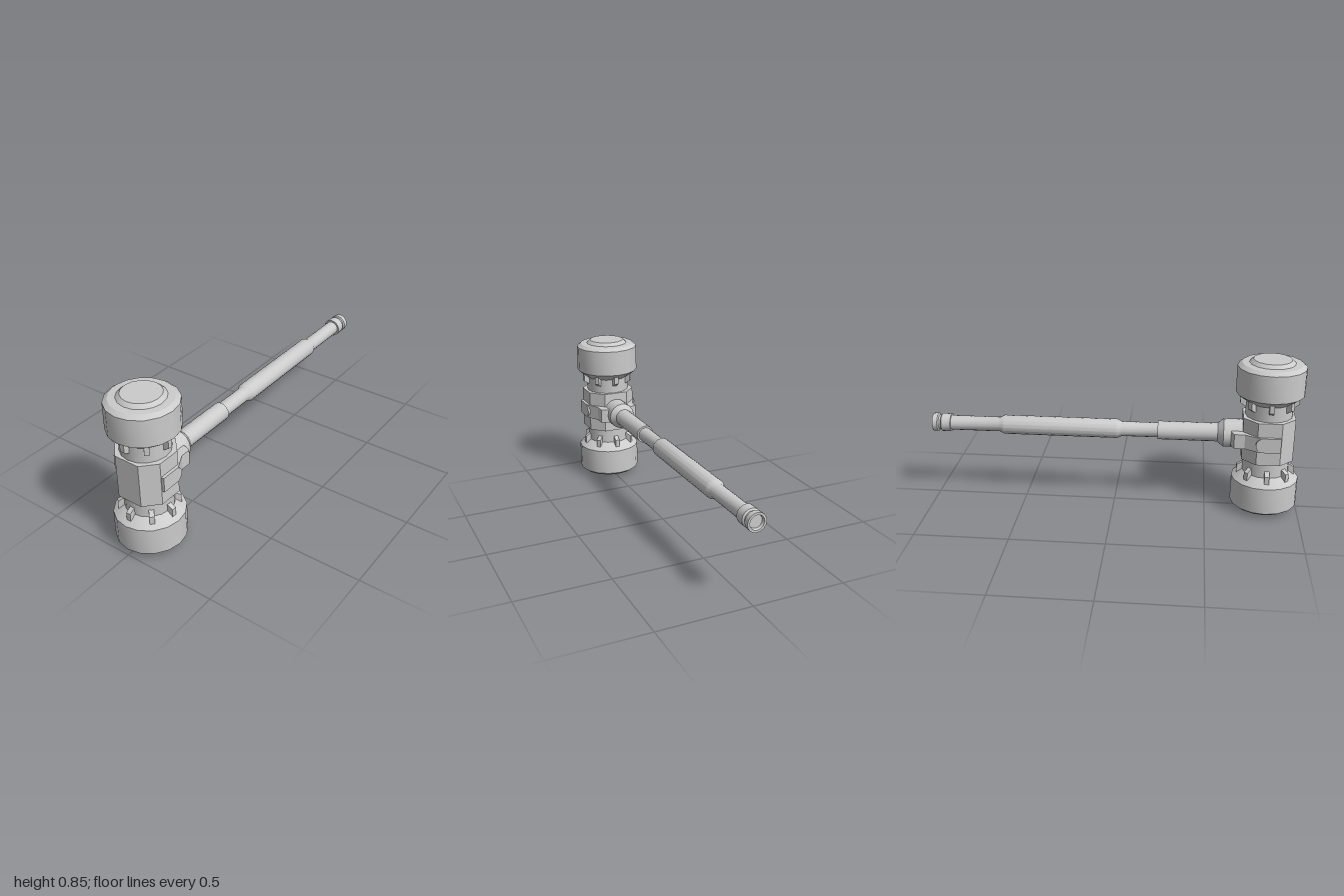
import * as THREE from 'three';
import { toCreasedNormals } from 'three/addons/utils/BufferGeometryUtils.js';

const HEAD_Z = 0.82;
const MID_Y = 0.424;
const material = new THREE.MeshStandardMaterial({ color: 0xcccccc });

function part(name, geometry, parent) {
  const mesh = new THREE.Mesh(toCreasedNormals(geometry, 0.5), material);
  mesh.name = name;
  parent.add(mesh);
  return mesh;
}

const points = (list) => list.map(([x, y]) => new THREE.Vector2(x, y));
const lathe = (list, sides = 16) => new THREE.LatheGeometry(points(list), sides);
const extrude = (list, depth) =>
  new THREE.ExtrudeGeometry(new THREE.Shape(points(list)), { depth, bevelEnabled: false });

export function createModel() {
  const model = new THREE.Group();
  model.name = 'warHammer';

  const head = new THREE.Group();
  head.name = 'head';
  head.position.set(0, MID_Y, HEAD_Z);
  model.add(head);

  // Central core and the eight-sided block around it
  part('core', new THREE.CylinderGeometry(0.125, 0.125, 0.44, 16), head);
  const block = extrude([
    [0.07, -0.135], [0.14, -0.062], [0.14, 0.062], [0.07, 0.135],
    [-0.07, 0.135], [-0.14, 0.062], [-0.14, -0.062], [-0.07, -0.135],
  ], 0.236);
  block.rotateX(-Math.PI / 2).translate(0, -0.118, 0);
  part('centralBlock', block, head);

  // Upper and lower striking ends, each with a ring of eight fins
  for (const end of ['upper', 'lower']) {
    const half = new THREE.Group();
    half.name = end + 'End';
    if (end === 'lower') half.rotation.x = Math.PI;
    head.add(half);
    part('strikingCap', lathe([
      [0, 0.198], [0.122, 0.198], [0.18, 0.242], [0.18, 0.387],
      [0.157, 0.404], [0.12, 0.406], [0.1, 0.424], [0, 0.424],
    ]), half);
    for (let i = 0; i < 8; i++) {
      const fin = extrude([
        [0.1, 0.161], [0.124, 0.161], [0.154, 0.18], [0.154, 0.223], [0.1, 0.223],
      ], 0.025);
      fin.translate(0, 0, -0.0125);
      part('fin', fin, half).rotation.y = (i * Math.PI) / 4;
    }
  }

  // Side clamps that reach from the block back to the handle collar
  for (const side of [1, -1]) {
    const outline = [
      [0.12, 0.03], [0.156, 0.03], [0.156, -0.075], [0.112, -0.155],
      [0.112, -0.21], [0.075, -0.225], [0.03, -0.225], [0.03, -0.1], [0.12, -0.05],
    ].map(([x, z]) => [x * side, -z - 0.06]);
    if (side < 0) outline.reverse();
    const arm = extrude(outline, 0.08);
    arm.rotateX(-Math.PI / 2).translate(0, -0.04, 0.0);
    // Shift so that the rounded nose continues the arm
    arm.translate(0, 0, -0.06);
    arm.translate(0, 0, 0.03);
    part('clampArm', arm, head);
    const nose = new THREE.CylinderGeometry(0.04, 0.04, 0.036, 16);
    nose.rotateZ(Math.PI / 2).translate(0.138 * side, 0, -0.03);
    part('clampNose', nose, head);
  }

  // Collar and stepped handle, turned around the z axis
  const collar = lathe([
    [0, 0.55], [0.05, 0.555], [0.076, 0.585], [0.076, 0.7], [0, 0.7],
  ]);
  part('collar', collar.rotateX(Math.PI / 2), model).position.y = MID_Y + 0.003;

  const handle = lathe([
    [0, -0.985], [0.034, -0.985], [0.038, -1], [0.05, -1], [0.05, -0.973],
    [0.041, -0.968], [0.041, -0.957], [0.05, -0.95], [0.05, -0.9],
    [0.04, -0.9], [0.04, -0.63], [0.052, -0.605], [0.052, 0.015],
    [0.04, 0.04], [0.04, 0.235], [0.05, 0.235], [0.05, 0.57], [0, 0.57],
  ]);
  part('handle', handle.rotateX(Math.PI / 2), model).position.y = MID_Y + 0.003;

  return model;
}
